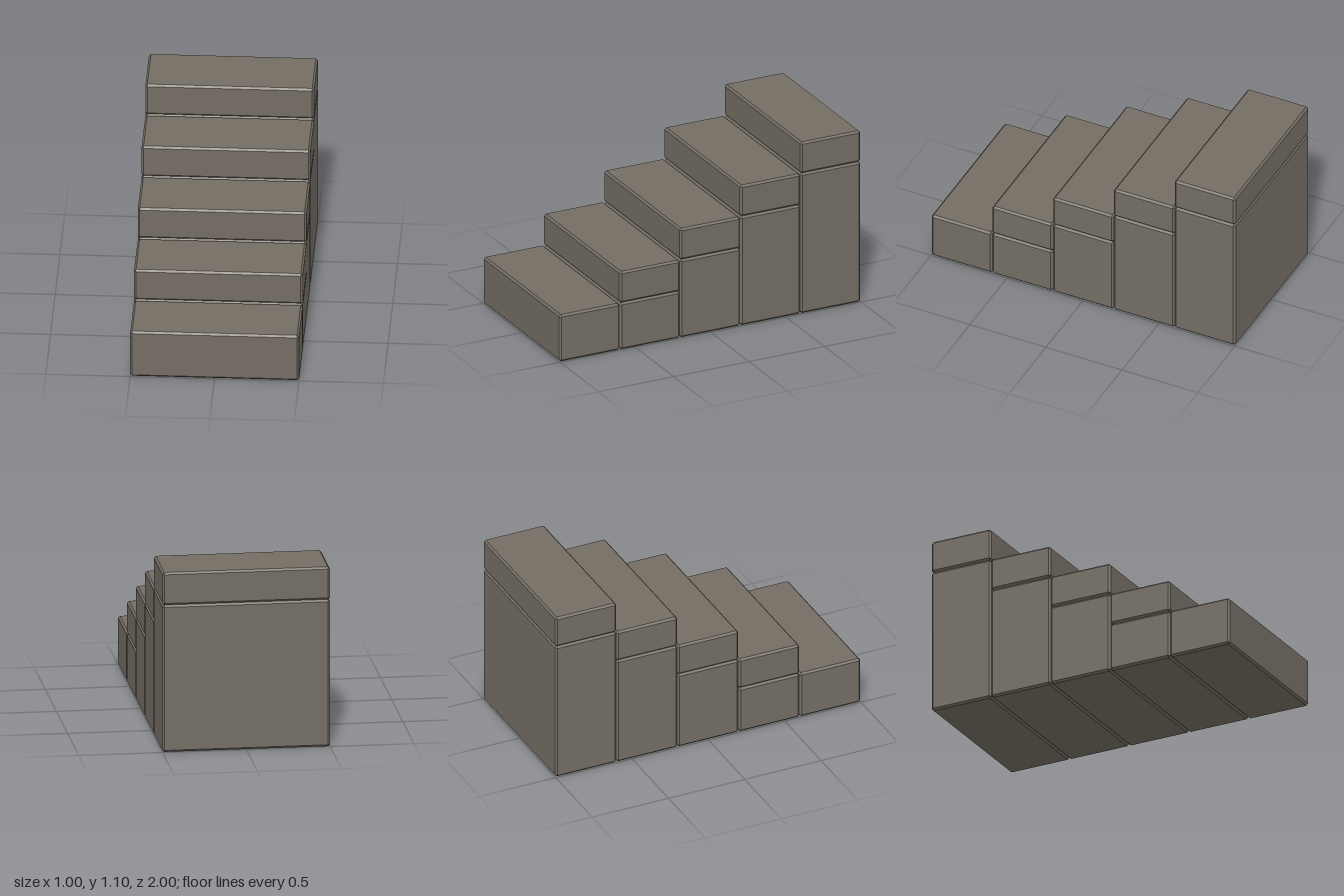
import * as THREE from 'three';
import { ConvexGeometry } from 'three/addons/geometries/ConvexGeometry.js';

const BEVEL = 0.012;
const WIDTH = 1, DEPTH = 0.4, RISE = 0.2, STEPS = 5;

// Box with chamfered edges: each corner becomes three points, one on each face
function chamferedBox(w, h, d, bevel) {
  const points = [];
  for (const sx of [-1, 1]) for (const sy of [-1, 1]) for (const sz of [-1, 1]) {
    for (let face = 0; face < 3; face++) {
      const half = [w / 2, h / 2, d / 2].map((v, axis) => (axis === face ? v : v - bevel));
      points.push(new THREE.Vector3(sx * half[0], sy * half[1], sz * half[2]));
    }
  }
  return new ConvexGeometry(points);
}

export function createModel() {
  const model = new THREE.Group();
  model.name = 'stoneStairs';
  const stone = new THREE.MeshStandardMaterial({ color: 0x736d63 });
  stone.name = 'stone';

  function addBlock(name, bottom, top, z) {
    const block = new THREE.Mesh(chamferedBox(WIDTH, top - bottom, DEPTH, BEVEL), stone);
    block.name = name;
    block.position.set(0, (bottom + top) / 2, z);
    model.add(block);
  }

  for (let i = 0; i < STEPS; i++) {
    const z = 1 - DEPTH * (i + 0.5);
    const top = 0.3 + RISE * i;
    if (i === 0) {
      // The lowest step is a single block
      addBlock('step1', 0, top, z);
    } else {
      // Higher steps are a slab on a supporting block
      addBlock(`support${i + 1}`, 0, top - RISE, z);
      addBlock(`step${i + 1}`, top - RISE, top, z);
    }
  }
  return model;
}
